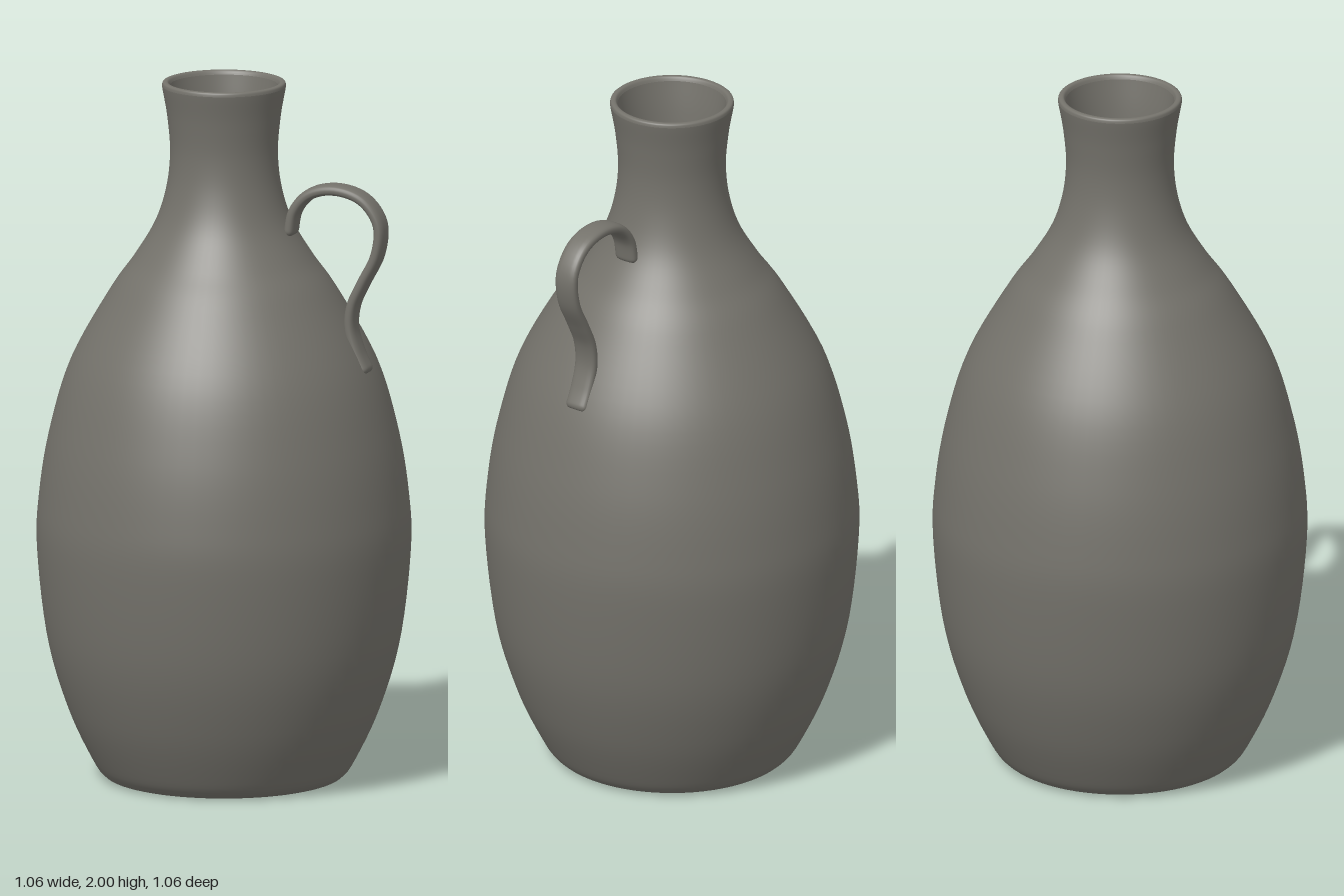
import * as THREE from 'three';

const V2 = (p) => new THREE.Vector2(p[0], p[1]);
const smooth = (pts, n) => new THREE.SplineCurve(pts.map(V2)).getPoints(n);

// Flat strap with rounded edges swept along a curve in the xy plane, with closed, rounded ends
function strap(curve, halfThick, halfWidth, rings, sides) {
  const pos = [], index = [];
  const length = curve.getLength();
  for (let i = 0; i <= rings; i++) {
    // rings bunch up towards both ends so the ends are round
    const t = (1 - Math.cos(Math.PI * i / rings)) / 2;
    const p = curve.getPointAt(t), d = curve.getTangentAt(t);
    const e = Math.min(1, Math.min(t, 1 - t) * length / halfThick);
    const round = Math.sqrt(1 - (1 - e) ** 2);
    const a = halfThick * round, b = halfWidth - halfThick * (1 - round);
    for (let j = 0; j < sides; j++) {
      const u = 2 * Math.PI * j / sides, s = Math.sin(u), c = Math.cos(u);
      const n = a * Math.sign(c) * Math.abs(c) ** 0.8;
      const z = b * Math.sign(s) * Math.abs(s) ** 0.65;
      pos.push(p.x - d.y * n, p.y + d.x * n, z);
      if (i < rings) {
        const k = i * sides, j2 = (j + 1) % sides;
        index.push(k + j, k + j2, k + sides + j, k + j2, k + sides + j2, k + sides + j);
      }
    }
  }
  const g = new THREE.BufferGeometry();
  g.setAttribute('position', new THREE.Float32BufferAttribute(pos, 3));
  g.setIndex(index);
  g.computeVertexNormals();
  return g;
}

export function createModel() {
  const group = new THREE.Group();
  const clay = new THREE.MeshStandardMaterial({ color: 0x74726b });
  clay.name = 'grey clay';

  const add = (name, geometry) => {
    const mesh = new THREE.Mesh(geometry, clay);
    mesh.name = name;
    group.add(mesh);
  };
  const lathe = (pts) => new THREE.LatheGeometry(pts, 72);

  // Outer wall, from the foot up to the lip
  add('body', lathe(smooth([
    [0.31, 0], [0.338, 0.012], [0.37, 0.055], [0.438, 0.2], [0.497, 0.4],
    [0.527, 0.66], [0.521, 0.82], [0.492, 1.0], [0.432, 1.2], [0.322, 1.4],
    [0.252, 1.5], [0.193, 1.6], [0.162, 1.7], [0.152, 1.8], [0.16, 1.9],
    [0.173, 1.975], [0.175, 1.988],
  ], 90)));

  // Rounded lip
  add('rim', lathe(smooth([
    [0.175, 1.988], [0.173, 1.997], [0.166, 2], [0.158, 1.998], [0.153, 1.988],
  ], 12)));

  // Inside of the neck and the hollow belly
  add('innerWall', lathe(smooth([
    [0.153, 1.988], [0.139, 1.9], [0.132, 1.8], [0.142, 1.7], [0.172, 1.6],
    [0.23, 1.5], [0.298, 1.4], [0.405, 1.2], [0.465, 1.0], [0.498, 0.66],
    [0.468, 0.4], [0.41, 0.2], [0.34, 0.06],
  ], 60)));
  add('innerFloor', lathe([[0.34, 0.06], [0, 0.06]].map(V2)));

  // Foot ring and recessed underside
  add('footRing', lathe(smooth([
    [0.275, 0.025], [0.28, 0.01], [0.293, 0.001], [0.31, 0],
  ], 12)));
  add('underside', lathe([[0, 0.025], [0.275, 0.025]].map(V2)));

  // Curling strap handle on the left shoulder
  const path = new THREE.CatmullRomCurve3([
    [0.2, 1.572], [0.216, 1.645], [0.262, 1.695], [0.338, 1.712], [0.42, 1.688],
    [0.468, 1.622], [0.462, 1.535], [0.42, 1.45], [0.39, 1.385], [0.383, 1.32],
    [0.402, 1.25], [0.43, 1.19],
  ].map(([x, y]) => new THREE.Vector3(x, y, 0)));
  add('handle', strap(path, 0.016, 0.036, 90, 24));

  return group;
}
